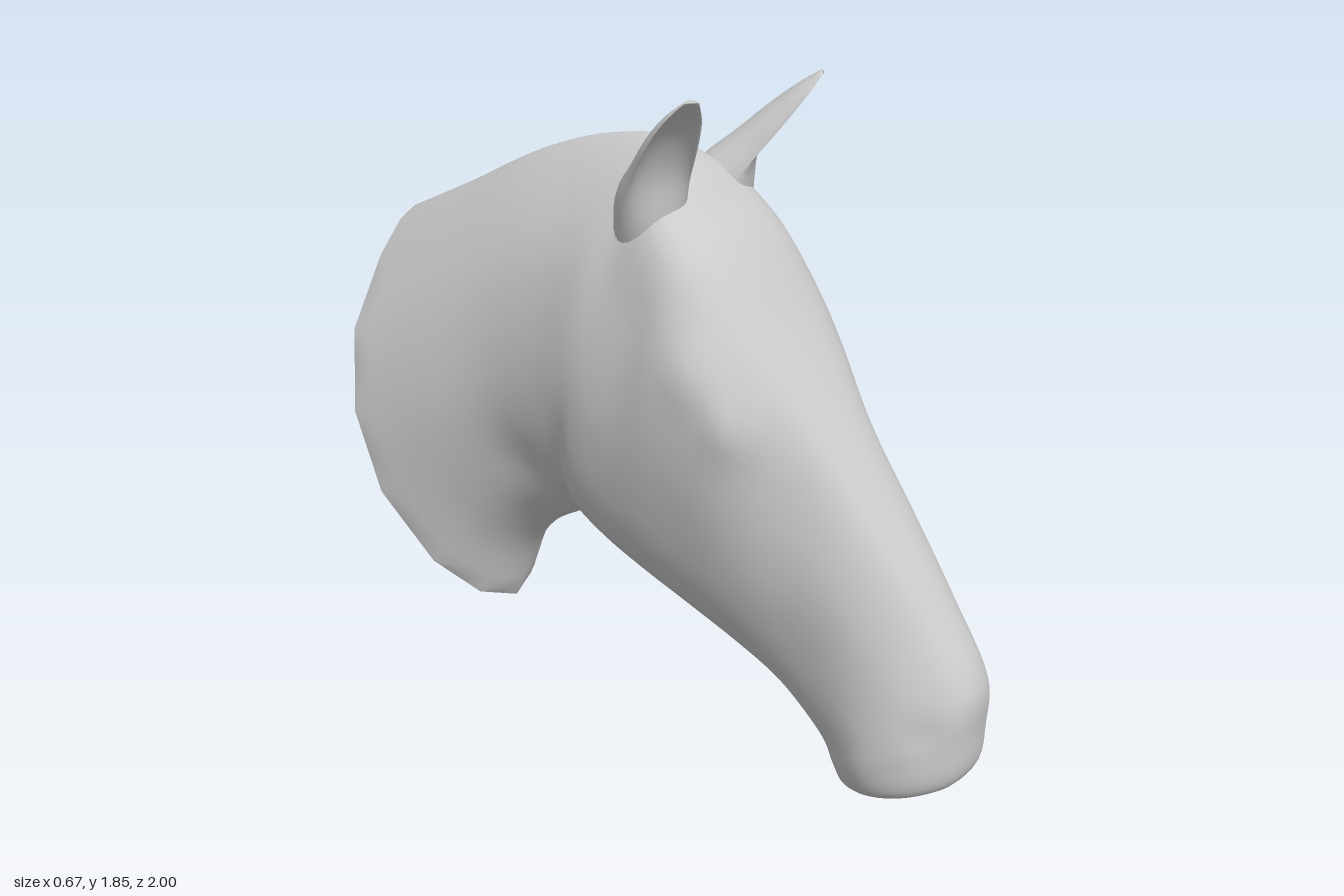
import * as THREE from 'three';

const grey = new THREE.MeshStandardMaterial({ color: 0xcccccc });
const greyFlat = new THREE.MeshStandardMaterial({ color: 0xcccccc, flatShading: true });

// Cross-sections from neck base to lips:
// top z, top y, bottom z, bottom y, backward bow, half widths at four depths
const SECTIONS = [
  [-0.97, 1.37, -0.61, 0.16, 0.13, 0.10, 0.295, 0.328, 0.195],
  [-0.72, 1.48, -0.53, 0.36, 0.08, 0.10, 0.26, 0.305, 0.18],
  [-0.44, 1.61, -0.43, 0.47, 0.02, 0.09, 0.235, 0.275, 0.16],
  [-0.20, 1.68, -0.32, 0.535, 0, 0.08, 0.24, 0.285, 0.165],
  [0.00, 1.69, -0.26, 0.585, 0, 0.10, 0.265, 0.30, 0.18],
  [0.10, 1.62, -0.22, 0.565, 0, 0.19, 0.28, 0.31, 0.21],
  [0.18, 1.54, -0.12, 0.50, 0, 0.225, 0.295, 0.31, 0.21],
  [0.27, 1.45, 0.00, 0.43, 0, 0.22, 0.32, 0.305, 0.19],
  [0.41, 1.25, 0.13, 0.365, 0, 0.20, 0.295, 0.265, 0.16],
  [0.60, 0.99, 0.29, 0.29, 0, 0.125, 0.20, 0.21, 0.13],
  [0.75, 0.78, 0.41, 0.235, 0, 0.105, 0.18, 0.18, 0.12],
  [0.88, 0.59, 0.50, 0.175, 0, 0.09, 0.17, 0.18, 0.12],
  [1.00, 0.38, 0.57, 0.11, 0, 0.085, 0.17, 0.195, 0.12],
  [1.00, 0.25, 0.60, 0.06, 0, 0.09, 0.17, 0.195, 0.12],
  [0.98, 0.12, 0.63, 0.02, 0, 0.085, 0.155, 0.17, 0.11],
  [0.88, 0.055, 0.68, 0.005, 0, 0.06, 0.105, 0.11, 0.07],
];
const DEPTHS = [0.05, 0.28, 0.6, 0.9];
const AROUND = 64;

// Soft sideways bumps and dents: x, y, z, radius, amount
const SCULPT = [
  [0.31, 1.17, 0.31, 0.09, 0.03],    // brow
  [0.28, 1.04, 0.40, 0.08, 0.035],   // cheekbone below the eye
  [0.32, 1.08, 0.34, 0.03, -0.015],  // eye hollow
  [0.17, 0.28, 0.93, 0.05, -0.012],  // nostril
  [0.27, 0.72, -0.36, 0.10, -0.018], // groove behind the jaw
];

// Point on the side profile of a section at depth t, moved out to x
function sectionPoint([tz, ty, bz, by, bow], t, x, extraBow = 0) {
  const dz = bz - tz, dy = by - ty, len = Math.hypot(dz, dy);
  const push = (bow + extraBow) * Math.sin(Math.PI * t) / len;
  return new THREE.Vector3(x, ty + dy * t - dz * push, tz + dz * t + dy * push);
}

// Closed smooth outline of one section, running top, left side, bottom, right side
function sectionRing(row) {
  const half = DEPTHS.map((t, i) => sectionPoint(row, t, row[5 + i]));
  const other = half.map((p) => new THREE.Vector3(-p.x, p.y, p.z)).reverse();
  const outline = [sectionPoint(row, 0, 0), ...half, sectionPoint(row, 1, 0), ...other];
  const curve = new THREE.CatmullRomCurve3(outline, true);
  return Array.from({ length: AROUND }, (_, j) => curve.getPoint(j / AROUND));
}

// Smooth the rings lengthwise with a spline through matching points
function refine(rings, steps) {
  const columns = rings[0].map((_, j) => new THREE.CatmullRomCurve3(rings.map((r) => r[j])));
  return Array.from({ length: steps + 1 }, (_, i) => columns.map((c) => c.getPoint(i / steps)));
}

// Skin over closed rings, with the last ring capped
function loft(rings) {
  const n = rings[0].length, points = rings.flat(), index = [];
  for (let i = 0; i < rings.length - 1; i++) {
    for (let j = 0; j < n; j++) {
      const a = i * n + j, b = i * n + (j + 1) % n;
      index.push(a, a + n, b, b, a + n, b + n);
    }
  }
  const last = rings[rings.length - 1], start = points.length - n;
  const centre = last.reduce((s, p) => s.add(p), new THREE.Vector3()).divideScalar(n);
  points.push(centre);
  for (let j = 0; j < n; j++) index.push(points.length - 1, start + (j + 1) % n, start + j);
  const geometry = new THREE.BufferGeometry().setFromPoints(points);
  geometry.setIndex(index);
  geometry.computeVertexNormals();
  return geometry;
}

function part(name, geometry, material) {
  const mesh = new THREE.Mesh(geometry, material);
  mesh.name = name;
  return mesh;
}

function headAndNeck() {
  const rings = refine(SECTIONS.map(sectionRing), 90);
  // Straighten the rim between every fourth point to meet the faceted neck base
  rings[0].forEach((p, j, rim) => {
    const from = j - (j % 4);
    p.lerpVectors(rim[from], rim[(from + 4) % AROUND], (j % 4) / 4);
  });
  for (const p of rings.slice(1).flat()) {
    let shift = 0;
    for (const [x, y, z, r, amount] of SCULPT) {
      const d2 = (Math.abs(p.x) - x) ** 2 + (p.y - y) ** 2 + (p.z - z) ** 2;
      shift += amount * Math.exp(-d2 / (r * r));
    }
    p.x += Math.sign(p.x) * shift;
  }
  return part('headAndNeck', loft(rings), grey);
}

// Faceted, slightly bulging face that closes the cut neck
function neckBase() {
  const row = SECTIONS[0], ring = sectionRing(row), step = 4, points = [];
  const spine = (j) => {
    const t = (row[1] - ring[j].y) / (row[1] - row[3]);
    return sectionPoint(row, THREE.MathUtils.clamp(t, 0, 1), 0, 0.045);
  };
  for (let j = 0; j < AROUND; j += step) {
    const k = (j + step) % AROUND;
    points.push(ring[j], ring[k], spine(j), ring[k], spine(k), spine(j));
  }
  const geometry = new THREE.BufferGeometry().setFromPoints(points);
  geometry.computeVertexNormals();
  return part('neckBase', geometry, greyFlat);
}

// Ear rings: centre x, y, z, half width, half depth, front shape (negative is hollow)
const EAR = [
  [0.14, 1.42, 0.03, 0.09, 0.10, 0.9],
  [0.17, 1.54, 0.065, 0.095, 0.105, 0.8],
  [0.218, 1.64, 0.135, 0.082, 0.082, 0],
  [0.258, 1.73, 0.20, 0.07, 0.06, -0.5],
  [0.282, 1.80, 0.25, 0.05, 0.035, -0.5],
  [0.295, 1.85, 0.285, 0.02, 0.01, 0.2],
];

function ear(name, side) {
  const axis = new THREE.Vector3(0.1, 0.3, 0.2).normalize();
  const front = new THREE.Vector3(0.45, -0.5, 0.75);
  front.addScaledVector(axis, -front.dot(axis)).normalize();
  const across = new THREE.Vector3().crossVectors(axis, front);
  const rings = EAR.map(([x, y, z, width, depth, hollow]) =>
    Array.from({ length: 28 }, (_, j) => {
      const angle = (j / 28) * Math.PI * 2, s = Math.sin(angle);
      const p = new THREE.Vector3(x, y, z)
        .addScaledVector(across, width * Math.cos(angle))
        .addScaledVector(front, depth * s * (s > 0 ? hollow : 1));
      p.x *= side;
      return p;
    }));
  // Mirrored rings run the other way so the skin still faces outward
  if (side < 0) rings.forEach((r) => r.reverse());
  return part(name, loft(refine(rings, 20)), grey);
}

export function createModel() {
  const model = new THREE.Group();
  model.name = 'horseHead';
  model.add(headAndNeck(), neckBase(), ear('leftEar', 1), ear('rightEar', -1));
  return model;
}
